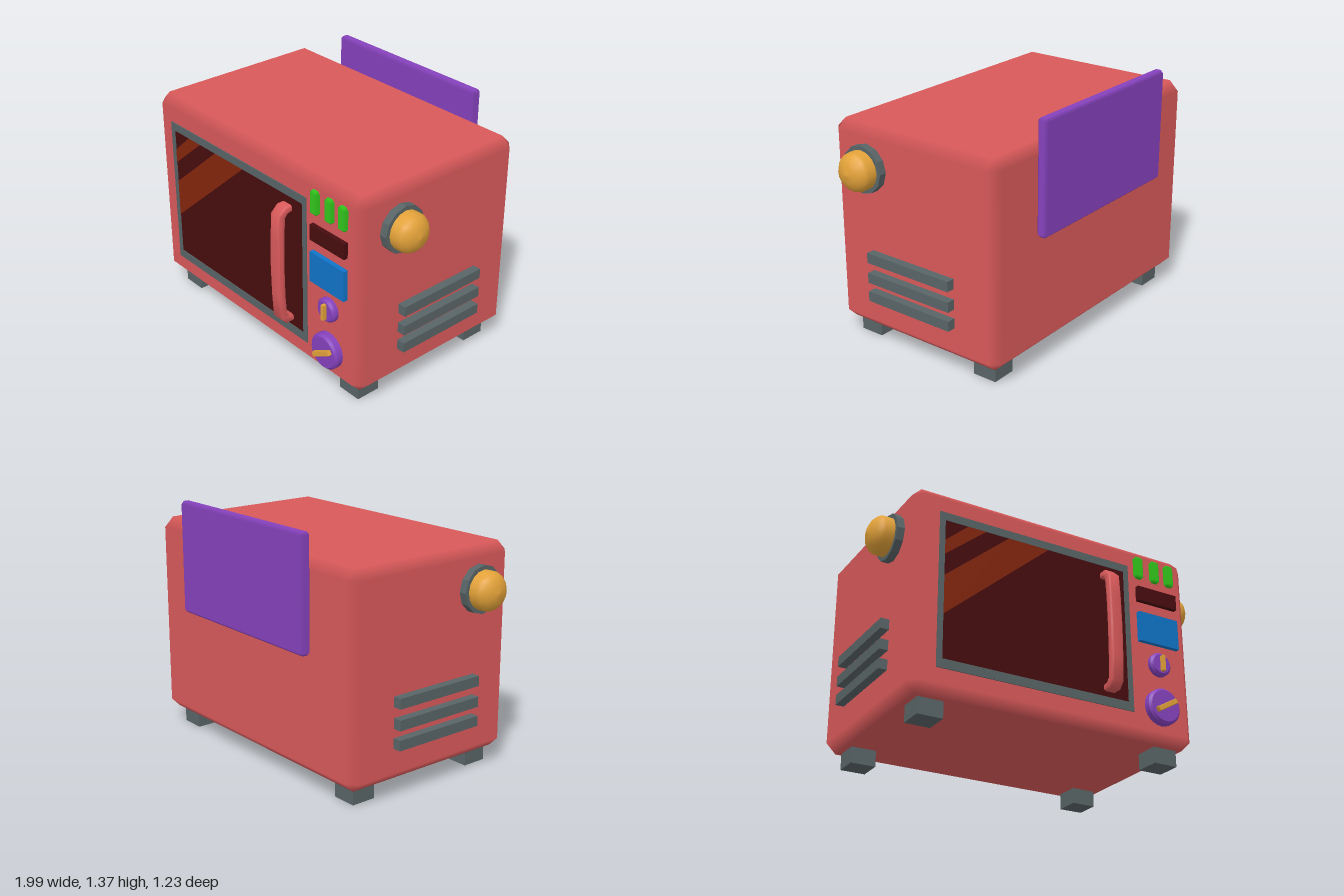
import * as THREE from 'three';
import { toCreasedNormals } from 'three/addons/utils/BufferGeometryUtils.js';
import { ConvexGeometry } from 'three/addons/geometries/ConvexGeometry.js';

const paint = (name, color) => {
  const m = new THREE.MeshStandardMaterial({ color });
  m.name = name;
  return m;
};

// Box with one chamfer on every edge, shaded smoothly across the chamfers
function chamferBox(w, h, d, c) {
  const half = [w / 2, h / 2, d / 2];
  const points = [];
  for (let axis = 0; axis < 3; axis++)
    for (const sx of [-1, 1]) for (const sy of [-1, 1]) for (const sz of [-1, 1]) {
      const p = [sx, sy, sz].map((s, i) => s * (half[i] - (i === axis ? 0 : c)));
      points.push(new THREE.Vector3(...p));
    }
  const geo = new ConvexGeometry(points);
  const pos = geo.attributes.position, nor = geo.attributes.normal;
  for (let i = 0; i < pos.count; i++) {
    const p = [pos.getX(i), pos.getY(i), pos.getZ(i)];
    nor.setXYZ(i, ...p.map((v, k) => (Math.abs(Math.abs(v) - half[k]) < 1e-5 ? Math.sign(v) : 0)));
  }
  return geo;
}

export function createModel() {
  const red = paint('casing red', 0xd9595a);
  const grey = paint('trim grey', 0x596466);
  const dark = paint('dark glass', 0x480c0e);
  const glare = paint('glass glare', 0x84260d);
  const purple = paint('purple', 0x8642bd);
  const green = paint('button green', 0x32c81c);
  const blue = paint('screen blue', 0x1074c8);
  const gold = paint('gold', 0xe3a239);

  const model = new THREE.Group();
  const add = (name, geo, mat, x = 0, y = 0, z = 0) => {
    const mesh = new THREE.Mesh(geo, mat);
    mesh.name = name;
    mesh.position.set(x, y, z);
    model.add(mesh);
    return mesh;
  };
  // Box given by its limits on each axis, chamfered when c > 0
  const block = (name, mat, [x0, x1], [y0, y1], [z0, z1], c = 0) => {
    const size = [x1 - x0, y1 - y0, z1 - z0];
    const geo = c ? chamferBox(...size, c) : new THREE.BoxGeometry(...size);
    return add(name, geo, mat, (x0 + x1) / 2, (y0 + y1) / 2, (z0 + z1) / 2);
  };

  // Casing and back panel
  block('casing', red, [-0.843, 0.843], [0.09, 1.225], [-0.555, 0.523], 0.054);
  block('backPanel', purple, [-0.533, 0.53], [0.743, 1.365], [-0.615, -0.555], 0.016);

  // Feet
  for (const x of [-0.693, 0.69])
    for (const z of [0.38, -0.41])
      add('foot', new THREE.BoxGeometry(0.14, 0.1, 0.14), grey, x, 0.05, z);

  // Side lamps and vents
  const dome = [[0.105, 0], [0.105, 0.05], [0.096, 0.07], [0.075, 0.092], [0.042, 0.107], [0, 0.115]]
    .map(([r, y]) => new THREE.Vector2(r, y));
  for (const s of [-1, 1]) {
    const base = add('lampBase', new THREE.CylinderGeometry(0.128, 0.128, 0.06, 12), grey, s * 0.855, 1.01, 0.275);
    base.geometry = toCreasedNormals(base.geometry, 0.4);
    base.rotation.set(0, 0, -s * Math.PI / 2);
    base.geometry.rotateY(Math.PI / 2);
    const lamp = add('lampDome', new THREE.LatheGeometry(dome, 16), gold, s * 0.882, 1.01, 0.275);
    lamp.rotation.z = -s * Math.PI / 2;
    for (const y of [0.307, 0.413, 0.527])
      add('sideVent', new THREE.BoxGeometry(0.06, 0.056, 0.547), grey, s * 0.86, y, -0.0125);
  }

  // Door frame, glass and diagonal glare stripes
  const shapeOf = pts => new THREE.Shape(pts.map(p => new THREE.Vector2(...p)));
  const rect = (x0, x1, y0, y1) => [[x0, y0], [x1, y0], [x1, y1], [x0, y1]];
  const frame = shapeOf(rect(-0.706, 0.446, 0.225, 1.09));
  frame.holes.push(shapeOf(rect(-0.675, 0.415, 0.275, 1.045)));
  add('doorFrame', new THREE.ExtrudeGeometry(frame, { depth: 0.006, bevelEnabled: false }), grey, 0, 0, 0.522);
  block('doorGlass', dark, [-0.675, 0.415], [0.275, 1.045], [0.52, 0.525]);
  const stripes = [
    [[-0.675, 0.515], [-0.065, 1.045], [-0.305, 1.045], [-0.675, 0.73]],
    [[-0.675, 0.85], [-0.44, 1.045], [-0.545, 1.045], [-0.675, 0.93]],
  ];
  for (const pts of stripes)
    add('glareStripe', new THREE.ShapeGeometry(shapeOf(pts)), glare, 0, 0, 0.527);

  // Bowed door handle, drawn from the side and extruded across
  const handleSide = shapeOf([
    [0.515, 0.318], [0.565, 0.318], [0.594, 0.35], [0.602, 0.48], [0.606, 0.655], [0.602, 0.83],
    [0.594, 0.955], [0.56, 0.988], [0.515, 0.988], [0.515, 0.975], [0.554, 0.97], [0.575, 0.945],
    [0.583, 0.83], [0.586, 0.655], [0.583, 0.48], [0.575, 0.36], [0.556, 0.336], [0.515, 0.331],
  ]);
  const handle = new THREE.ExtrudeGeometry(handleSide, {
    depth: 0.048, bevelSize: 0.012, bevelThickness: 0.013, bevelSegments: 3,
  });
  handle.translate(0, 0, -0.024).rotateY(-Math.PI / 2);
  add('doorHandle', toCreasedNormals(handle, 0.9), red, 0.298, 0, 0);

  // Control panel: buttons, display and screen
  for (const x of [0.516, 0.624, 0.721])
    block('button', green, [x - 0.03, x + 0.03], [1.027, 1.162], [0.5, 0.549], 0.016);
  block('display', dark, [0.495, 0.75], [0.885, 0.972], [0.5, 0.548]);
  block('screen', blue, [0.495, 0.75], [0.643, 0.817], [0.5, 0.548]);

  // Knobs with gold pointers
  const knob = (y, r, front, length, width, angle) => {
    const b = 0.013;
    const profile = [[r, 0.5], [r, front - b], [r - b, front], [0, front]].map(p => new THREE.Vector2(...p));
    const geo = toCreasedNormals(new THREE.LatheGeometry(profile, 24).rotateX(Math.PI / 2), 0.6);
    add('knob', geo, purple, 0.62, y, 0);
    const pointer = add('knobPointer', chamferBox(length, width, 0.04, 0.004), gold, 0.622, y, front + 0.003);
    pointer.rotation.z = angle;
  };
  knob(0.527, 0.067, 0.557, 0.092, 0.022, Math.PI / 2);
  knob(0.28, 0.101, 0.57, 0.14, 0.028, 0.52);

  return model;
}
